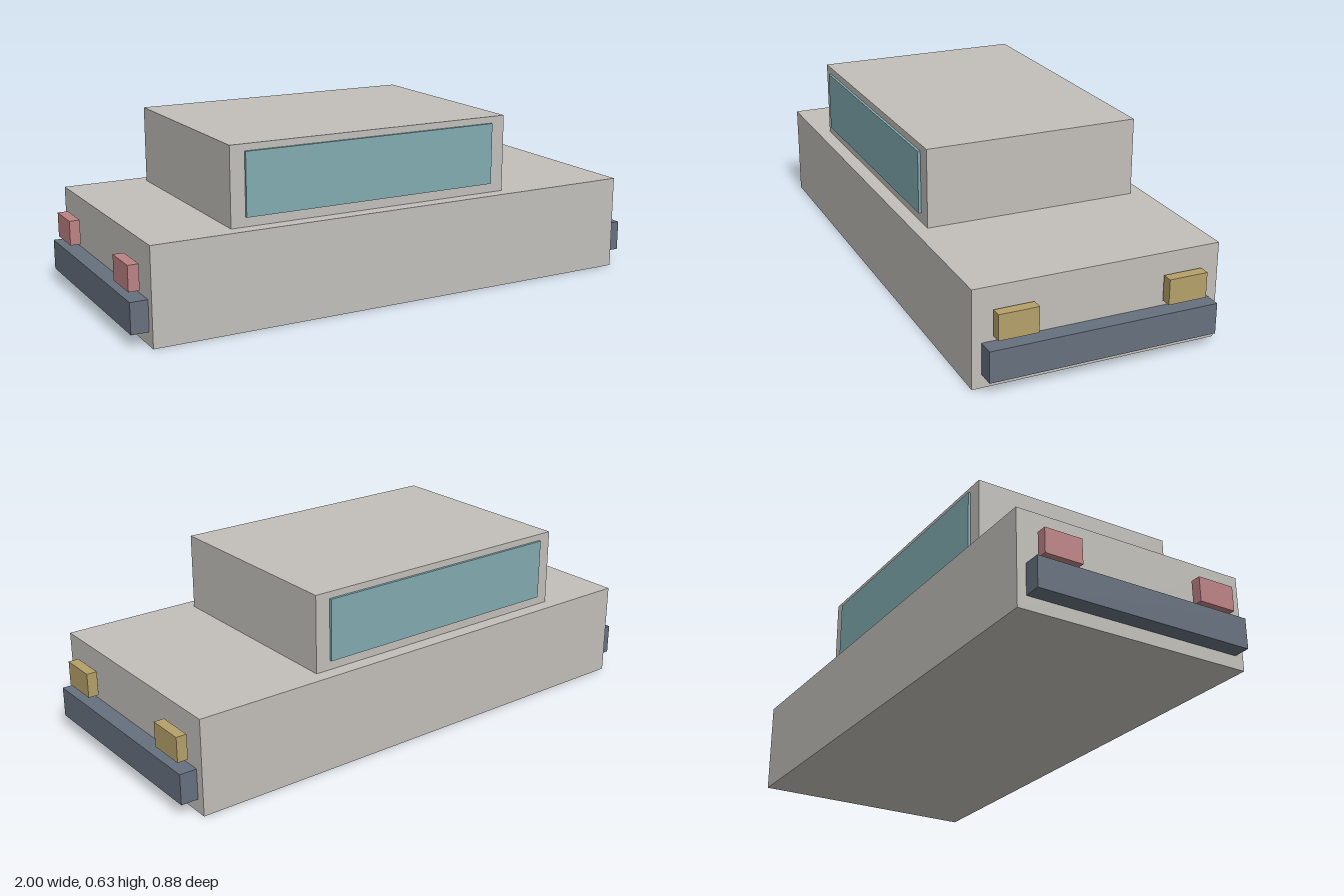
import * as THREE from 'three';

const paint = (name, color) => {
  const m = new THREE.MeshStandardMaterial({ color });
  m.name = name;
  return m;
};

export function createModel() {
  const car = new THREE.Group();
  car.name = 'car';

  const bodyPaint = paint('bodyGrey', 0xc2bfba);
  const glass = paint('windowTeal', 0x82abb1);
  const bumperPaint = paint('bumperSlate', 0x66707e);
  const yellow = paint('headlightYellow', 0xb4a069);
  const red = paint('tailLightRed', 0xbc8284);

  // Box given by its [min, max] range on each axis
  const box = (name, material, x, y, z) => {
    const geometry = new THREE.BoxGeometry(x[1] - x[0], y[1] - y[0], z[1] - z[0]);
    const mesh = new THREE.Mesh(geometry, material);
    mesh.position.set((x[0] + x[1]) / 2, (y[0] + y[1]) / 2, (z[0] + z[1]) / 2);
    mesh.name = name;
    car.add(mesh);
    return mesh;
  };

  // Lower body and cabin
  box('body', bodyPaint, [-0.938, 0.938], [0, 0.346], [-0.441, 0.441]);
  box('cabin', bodyPaint, [-0.636, 0.449], [0.346, 0.627], [-0.39, 0.39]);

  // Bumpers; the car's nose points to +x
  box('frontBumper', bumperPaint, [0.936, 1], [0.048, 0.158], [-0.408, 0.408]);
  box('rearBumper', bumperPaint, [-1, -0.936], [0.048, 0.158], [-0.408, 0.408]);

  // Side windows and lamps, mirrored across z
  for (const side of [-1, 1]) {
    const mirrored = (a, b) => (side > 0 ? [a, b] : [-b, -a]);
    box('sideWindow', glass, [-0.583, 0.393], [0.38, 0.603], mirrored(0.3905, 0.4));
    box('headlight', yellow, [0.947, 0.985], [0.18, 0.27], mirrored(0.232, 0.372));
    box('tailLight', red, [-0.99, -0.952], [0.18, 0.27], mirrored(0.232, 0.372));
  }

  return car;
}
